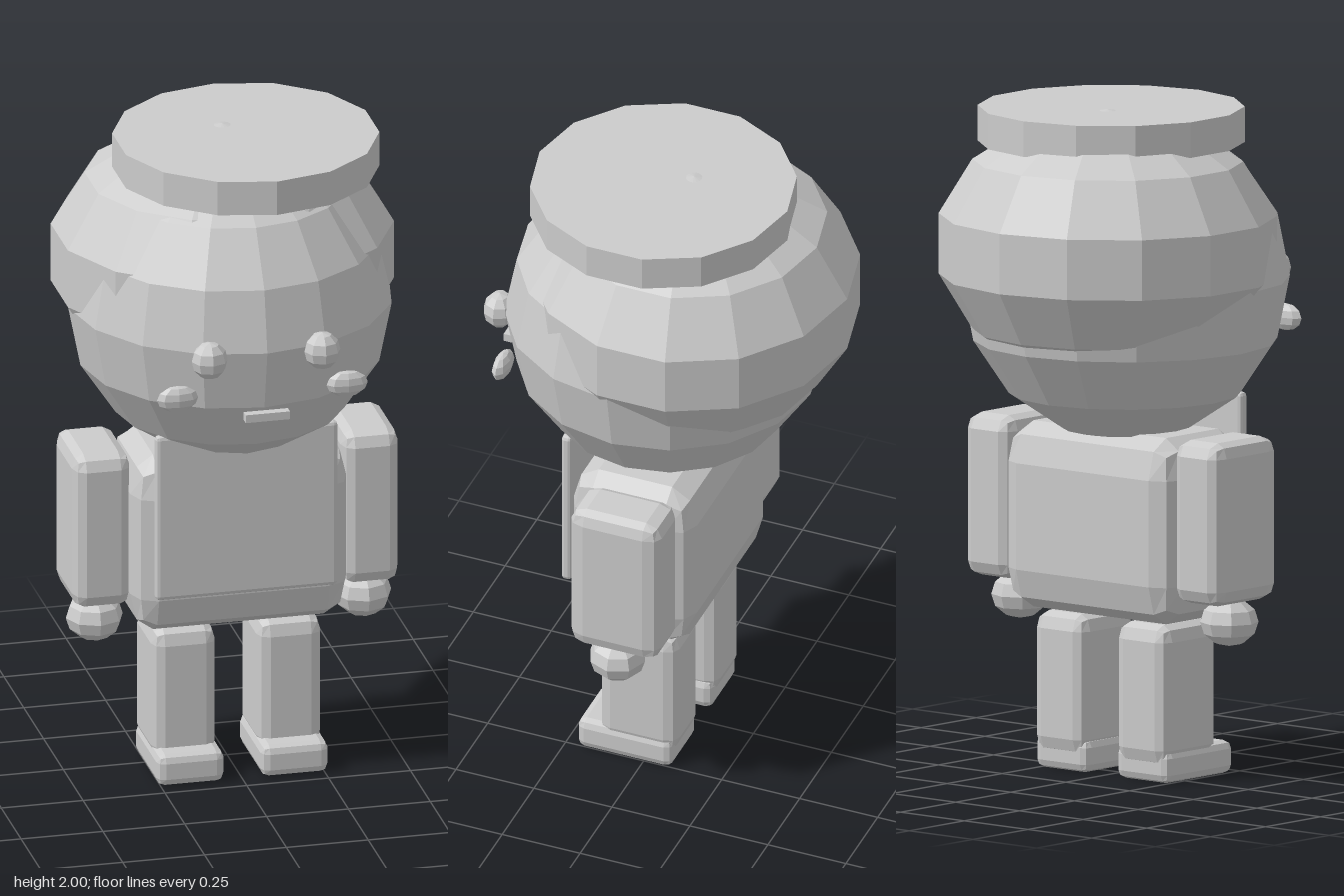
import * as THREE from 'three';
import { RoundedBoxGeometry } from 'three/addons/geometries/RoundedBoxGeometry.js';

export function createModel() {
  const model = new THREE.Group();
  model.name = 'blockFigure';
  const grey = new THREE.MeshStandardMaterial({ color: 0xcccccc, flatShading: true });
  grey.name = 'plainGrey';

  function add(name, geometry, x, y, z) {
    const mesh = new THREE.Mesh(geometry, grey);
    mesh.name = name;
    mesh.position.set(x, y, z);
    model.add(mesh);
    return mesh;
  }

  // box with a two-step bevel; bevel depth can differ per axis
  function bevelBox(w, h, d, bx, by, bz) {
    const g = new RoundedBoxGeometry(w / bx, h / by, d / bz, 1, 1);
    return g.scale(bx, by, bz);
  }

  // low-poly ellipsoid with a vertex facing the front
  function ball(rx, ry, rz, sides, rings) {
    const g = new THREE.SphereGeometry(1, sides, rings);
    return g.rotateY(Math.PI / 2).scale(rx, ry, rz);
  }

  // head, hair and flat cap
  add('head', ball(0.49, 0.49, 0.49, 16, 8), 0, 1.49, 0.02);
  add('hair', ball(0.524, 0.408, 0.503, 14, 7), 0, 1.595, -0.06);
  add('cap', new THREE.CylinderGeometry(0.397, 0.397, 0.107, 14), 0.053, 1.945, 0.017);

  // face
  add('mouth', new THREE.BoxGeometry(0.135, 0.025, 0.027), -0.002, 1.292, 0.511);

  // body and front panel
  add('torso', bevelBox(0.66, 0.56, 0.395, 0.07, 0.12, 0.08), 0, 0.765, 0.022);
  add('frontPanel', bevelBox(0.555, 0.525, 0.032, 0.012, 0.012, 0.01), 0, 0.8825, 0.239);

  // mirrored parts
  for (const [side, s] of [['left', 1], ['right', -1]]) {
    add(side + 'Eye', ball(0.055, 0.058, 0.05, 8, 6), s * 0.172, 1.478, 0.493);
    add(side + 'Cheek', ball(0.063, 0.041, 0.026, 8, 6), s * 0.259, 1.345, 0.447);
    add(side + 'Arm', bevelBox(0.175, 0.49, 0.29, 0.035, 0.045, 0.05), s * 0.41, 0.805, 0);
    add(side + 'Hand', ball(0.087, 0.073, 0.087, 8, 6), s * 0.41, 0.495, 0.018);
    add(side + 'Leg', bevelBox(0.195, 0.425, 0.25, 0.035, 0.05, 0.04), s * 0.161, 0.263, 0.02);
    add(side + 'Foot', bevelBox(0.205, 0.1, 0.305, 0.025, 0.025, 0.025), s * 0.159, 0.052, 0.06);
  }
  return model;
}
